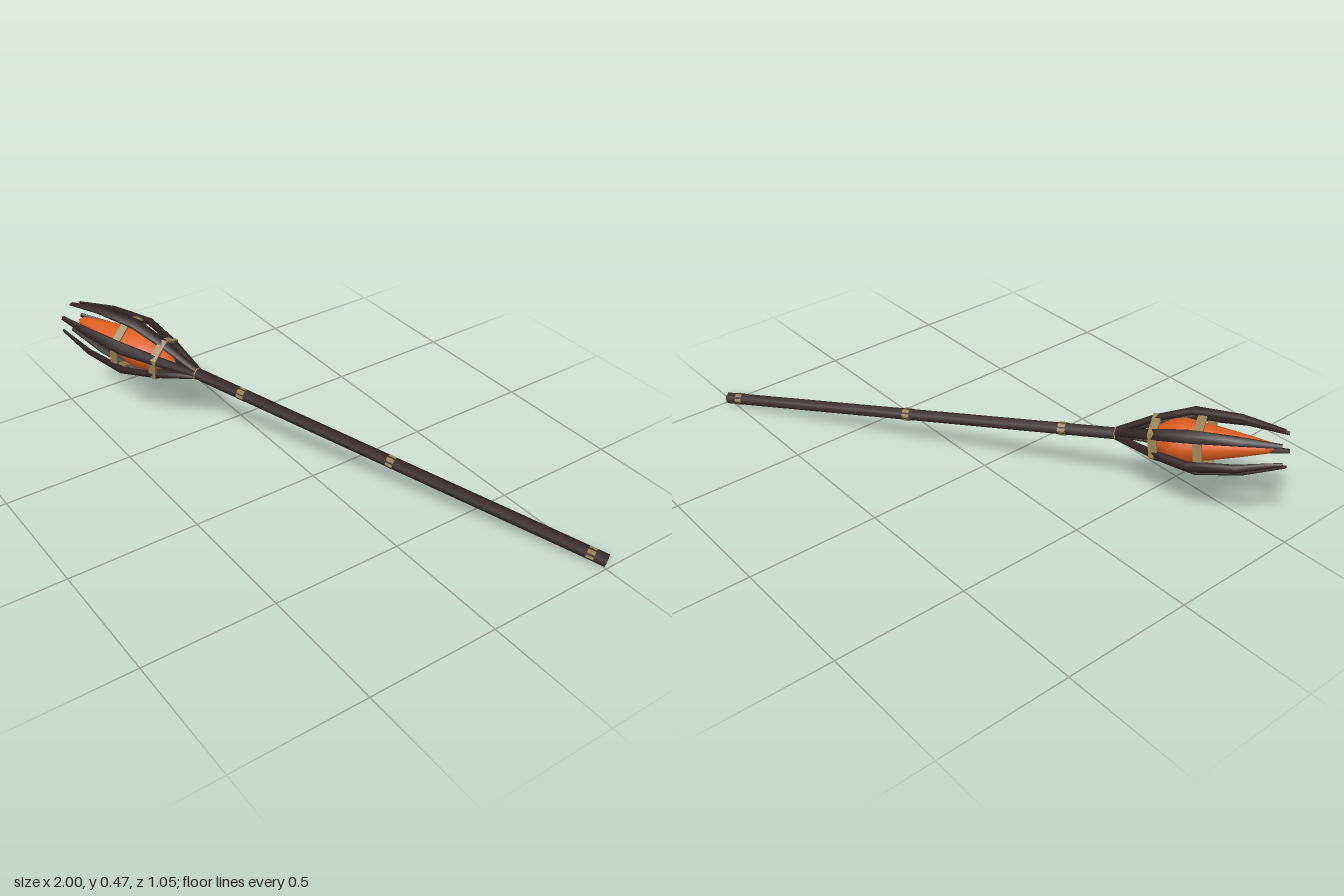
import * as THREE from 'three';

const wood = new THREE.MeshStandardMaterial({ color: 0x322625 });
wood.name = 'darkWood';
const brass = new THREE.MeshStandardMaterial({ color: 0x957f50 });
brass.name = 'dullBrass';
const ember = new THREE.MeshStandardMaterial({ color: 0xdd5c1e });
ember.name = 'emberOrange';

const SIDES = 6;
const CLAWS = 6;
const CLAW_OFFSET = THREE.MathUtils.degToRad(8);
const CORNER_START = Math.PI / 2 - CLAW_OFFSET; // puts ring corners on the claws

function addPart(parent, name, geo, material) {
  const mesh = new THREE.Mesh(geo, material);
  mesh.name = name;
  parent.add(mesh);
  return mesh;
}

// Closed faceted ring of rectangular section
function bandGeometry(inner, outer, y, height, twist = 0) {
  const lo = y - height / 2, hi = y + height / 2;
  const profile = [[inner, lo], [outer, lo], [outer, hi], [inner, hi], [inner, lo]]
    .map(([r, h]) => new THREE.Vector2(r, h));
  const geo = new THREE.LatheGeometry(profile, SIDES, CORNER_START + twist).toNonIndexed();
  geo.computeVertexNormals();
  return geo;
}

// Claw lofted through oval sections: [along axis, distance out, half depth, half width]
function clawGeometry(sections) {
  const pos = [], idx = [];
  sections.forEach(([y, r, depth, width]) => {
    for (let i = 0; i < SIDES; i++) {
      const a = (i / SIDES) * Math.PI * 2;
      pos.push(r + Math.cos(a) * depth, y, Math.sin(a) * width);
    }
  });
  const last = (sections.length - 1) * SIDES;
  for (let j = 0; j < last; j += SIDES) {
    for (let i = 0; i < SIDES; i++) {
      const n = (i + 1) % SIDES;
      const a = j + i, b = j + n, c = a + SIDES, d = b + SIDES;
      idx.push(a, c, b, b, c, d);
    }
  }
  for (let i = 1; i < SIDES - 1; i++) {
    idx.push(0, i, i + 1, last, last + i + 1, last + i);
  }
  const geo = new THREE.BufferGeometry();
  geo.setAttribute('position', new THREE.Float32BufferAttribute(pos, 3));
  geo.setIndex(idx);
  geo.computeVertexNormals();
  return geo;
}

export function createModel() {
  const model = new THREE.Group();
  model.name = 'emberStaff';

  // Staff is built along its own y axis, with the neck at the origin
  const staff = new THREE.Group();
  staff.name = 'staff';
  model.add(staff);

  // Six-sided shaft
  const shaft = new THREE.CylinderGeometry(0.0225, 0.0235, 1.665, SIDES, 1, false, CORNER_START);
  shaft.translate(0, -0.8195, 0);
  addPart(staff, 'shaft', shaft, wood);

  // Brass bands, twisted so the shaft's edges break through them
  [-0.21, -0.833, -1.595].forEach((y) => {
    addPart(staff, 'shaftBand', bandGeometry(0.015, 0.0245, y, 0.028, Math.PI / 6), brass);
  });
  addPart(staff, 'neckBand', bandGeometry(0.012, 0.0255, -0.008, 0.012), brass);

  // Cage of bowed claws
  const claw = clawGeometry([
    [-0.01, 0.012, 0.014, 0.013],
    [0.13, 0.070, 0.014, 0.021],
    [0.265, 0.109, 0.014, 0.026],
    [0.425, 0.098, 0.011, 0.019],
    [0.568, 0.064, 0.005, 0.009],
  ]);
  for (let i = 0; i < CLAWS; i++) {
    const mesh = addPart(staff, 'claw', claw, wood);
    mesh.rotation.y = -(CLAW_OFFSET + (i / CLAWS) * Math.PI * 2);
  }

  // Brass rings holding the claws
  addPart(staff, 'lowerCageRing', bandGeometry(0.077, 0.089, 0.14, 0.03), brass);
  addPart(staff, 'upperCageRing', bandGeometry(0.104, 0.114, 0.3, 0.03), brass);

  // Glowing core
  const core = [[0, 0.08], [0.035, 0.12], [0.07, 0.19], [0.077, 0.235],
    [0.062, 0.32], [0.042, 0.42], [0.02, 0.515], [0, 0.535]]
    .map(([r, y]) => new THREE.Vector2(r, y));
  addPart(staff, 'emberCore', new THREE.LatheGeometry(core, 10), ember);

  // Lay the staff along its slanted axis
  const along = new THREE.Vector3(-0.883, 0.163, 0.441).normalize();
  const side = new THREE.Vector3(0, 1, 0).cross(along).normalize();
  const up = new THREE.Vector3().crossVectors(along, side);
  staff.quaternion.setFromRotationMatrix(new THREE.Matrix4().makeBasis(up, along, side));
  staff.position.set(-0.469, 0.292, 0.215);
  return model;
}
